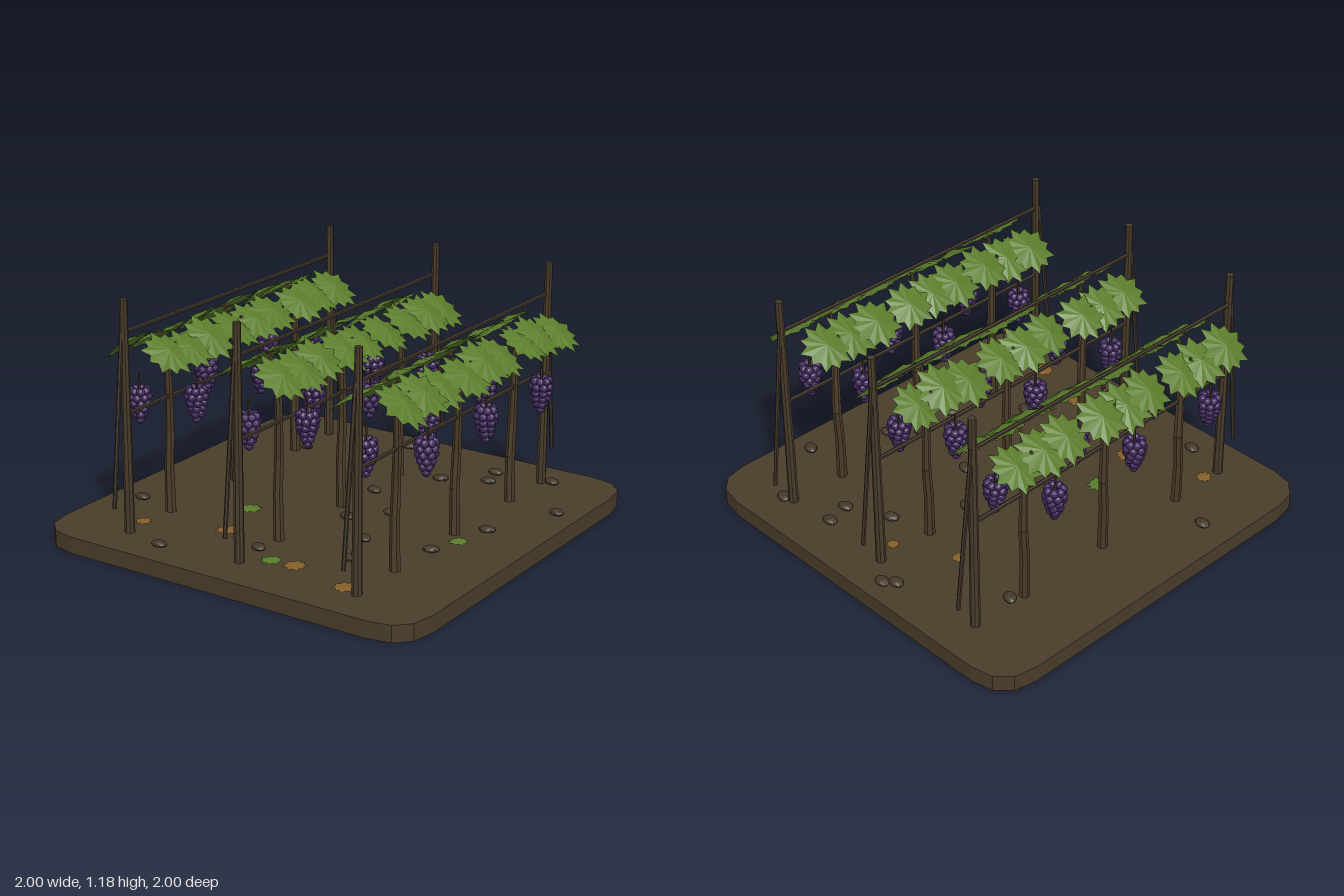
import * as THREE from 'three';
import { mergeGeometries } from 'three/addons/utils/BufferGeometryUtils.js';

const mat = (name, color, extra = {}) => {
  const m = new THREE.MeshStandardMaterial({ color, flatShading: true, ...extra });
  m.name = name;
  return m;
};
const V = (x, y, z) => new THREE.Vector3(x, y, z);

// small repeatable jitter between -1 and 1
let seed = 7;
const jitter = () => {
  seed = (seed * 16807) % 2147483647;
  return (seed / 2147483647) * 2 - 1;
};

function part(parent, name, geometry, material) {
  const mesh = new THREE.Mesh(geometry, material);
  mesh.name = name;
  parent.add(mesh);
  return mesh;
}

// tapered rods joined end to end through the given points
function limbGeometry(points, radii, sides = 7) {
  const rods = [];
  for (let i = 0; i < points.length - 1; i++) {
    const dir = points[i + 1].clone().sub(points[i]);
    const rod = new THREE.CylinderGeometry(radii[i + 1], radii[i], dir.length(), sides);
    rod.applyQuaternion(new THREE.Quaternion().setFromUnitVectors(V(0, 1, 0), dir.normalize()));
    const mid = points[i].clone().add(points[i + 1]).multiplyScalar(0.5);
    rods.push(rod.translate(mid.x, mid.y, mid.z));
  }
  return mergeGeometries(rods);
}

// pleated star leaf with a raised centre, unit radius
function leafGeometry(tips, droop) {
  const positions = [0, 0, 0];
  const index = [];
  const n = tips * 2;
  for (let i = 0; i < n; i++) {
    const a = (i / n) * Math.PI * 2;
    const isTip = i % 2 === 0;
    const r = isTip ? 1 - 0.1 * ((i / 2) % 2) : 0.7;
    positions.push(Math.cos(a) * r, -droop * (isTip ? 1 : 0.9), Math.sin(a) * r);
    index.push(0, 1 + ((i + 1) % n), 1 + i);
  }
  const g = new THREE.BufferGeometry();
  g.setAttribute('position', new THREE.Float32BufferAttribute(positions, 3));
  g.setIndex(index);
  g.computeVertexNormals();
  return g;
}

// tapering bunch of grapes hanging below y = 0
function bunchGeometry() {
  const rings = [[0.034, 7], [0.038, 7], [0.034, 6], [0.026, 5], [0.017, 4], [0, 1]];
  const grapes = [];
  rings.forEach(([radius, count], row) => {
    for (let i = 0; i < count; i++) {
      const a = ((i + (row % 2) * 0.5) / count) * Math.PI * 2;
      grapes.push(new THREE.IcosahedronGeometry(0.021, 1)
        .translate(Math.cos(a) * radius, -0.021 - row * 0.028, Math.sin(a) * radius));
    }
  });
  return mergeGeometries(grapes);
}

export function createModel() {
  const model = new THREE.Group();
  model.name = 'vineyard';
  const soil = mat('soil brown', 0x4a3d2a);
  const wood = mat('post wood', 0x483c2b);
  const bark = mat('vine bark', 0x4a3b28);
  const wire = mat('rail brown', 0x40352a);
  const stone = mat('pebble brown', 0x443828);
  const green = mat('leaf green', 0x5b7d2c, { side: THREE.DoubleSide });
  const autumn = mat('dry leaf orange', 0x85602a, { side: THREE.DoubleSide });
  const purple = mat('grape purple', 0x40295e);

  // soil slab with rounded corners
  const s = new THREE.Shape();
  s.moveTo(-0.8, -1);
  s.lineTo(0.8, -1);
  s.quadraticCurveTo(1, -1, 1, -0.8);
  s.lineTo(1, 0.8);
  s.quadraticCurveTo(1, 1, 0.8, 1);
  s.lineTo(-0.8, 1);
  s.quadraticCurveTo(-1, 1, -1, 0.8);
  s.lineTo(-1, -0.8);
  s.quadraticCurveTo(-1, -1, -0.8, -1);
  part(model, 'soilSlab', new THREE.ExtrudeGeometry(s, { depth: 0.08, bevelEnabled: false, curveSegments: 3 })
    .rotateX(-Math.PI / 2), soil);

  // shared pieces
  const leaf = leafGeometry(11, 0.2);
  const flatLeaf = leafGeometry(9, 0.08);
  const bunch = bunchGeometry();
  const post = limbGeometry([V(0, 0.08, 0), V(0.007, 1.18, 0)], [0.024, 0.018], 8);
  const brace = limbGeometry([V(0, 0.225, 0.9), V(0, 1.03, 0.812)], [0.01, 0.01], 6);
  const rail = new THREE.CylinderGeometry(0.01, 0.01, 1.6, 6).rotateX(Math.PI / 2);
  const trunk = limbGeometry(
    [V(-0.004, 0.08, -0.005), V(-0.012, 0.3, -0.012), V(-0.012, 0.46, -0.022), V(0, 0.66, -0.008), V(0.002, 0.86, 0)],
    [0.026, 0.023, 0.022, 0.019, 0.016]);
  const arm = limbGeometry([V(0, 0.82, 0), V(0.045, 0.91, 0.025), V(0.1, 0.935, 0.06)], [0.012, 0.01, 0.006], 5);
  const stalk = limbGeometry([V(0, -0.02, 0), V(0.003, 0.065, 0)], [0.006, 0.005], 5);

  function addVine(row, z) {
    const vine = new THREE.Group();
    vine.name = 'vine';
    vine.position.z = z;
    row.add(vine);
    part(vine, 'trunk', trunk, bark);
    for (const side of [-1, 1]) {
      part(vine, 'arm', arm, bark).rotation.y = side > 0 ? 0 : Math.PI;
      // three overlapping leaves sloping away from the top rail
      for (let i = -1; i <= 1; i++) {
        const blade = part(vine, 'leaf', leaf, green);
        const size = (side > 0 ? 0.141 : 0.134) + jitter() * 0.006;
        blade.position.set(side * 0.128 + 0.01 + jitter() * 0.01, 0.927 + jitter() * 0.012, i * 0.147 + jitter() * 0.01);
        blade.rotation.set(jitter() * 0.12, jitter() * 0.4, -side * (0.58 + jitter() * 0.06), 'ZXY');
        blade.scale.set(size, size, size);
      }
      // hanging grapes
      const grapes = new THREE.Group();
      grapes.name = 'grapeBunch';
      grapes.position.set(side * 0.108, 0.698 + jitter() * 0.006, -side * 0.072);
      grapes.rotation.y = jitter() * 3;
      vine.add(grapes);
      part(grapes, 'grapes', bunch, purple);
      part(grapes, 'stalk', stalk, bark);
    }
  }

  // three trellised rows
  for (const x of [-0.62, 0, 0.62]) {
    const row = new THREE.Group();
    row.name = 'trellisRow';
    row.position.x = x;
    model.add(row);
    for (const end of [-1, 1]) {
      part(row, 'post', post, wood).position.z = end * 0.8;
      part(row, 'brace', brace, wire).rotation.y = end > 0 ? 0 : Math.PI;
    }
    part(row, 'topRail', rail, wire).position.y = 1.027;
    part(row, 'lowerRail', rail, wire).position.y = 0.645;
    for (const z of [-0.5, 0, 0.5]) addVine(row, z);
  }

  // pebbles
  const pebble = new THREE.IcosahedronGeometry(1, 1);
  const pebbles = [
    [-0.17, -0.86], [-0.12, -0.9], [0.38, -0.78], [0.67, -0.82], [0.88, -0.48], [0.31, 0.28],
    [-0.41, 0.85], [-0.84, 0.44], [0.39, 0.5], [0.41, -0.66], [0.02, -0.25], [0.24, -0.05],
    [-0.6, -0.57], [0.2, -0.56], [0.63, 0.22], [-0.02, 0.63], [0.72, -0.12], [0.1, 0.1]];
  for (const [x, z] of pebbles) {
    const rock = part(model, 'pebble', pebble, stone);
    rock.position.set(x, 0.088, z);
    rock.rotation.y = jitter() * 0.5;
    rock.scale.set(0.04, 0.017, 0.03);
  }

  // fallen leaves lying on the soil
  const fallen = [
    [-0.25, -0.55, 0.04, autumn], [0.03, -0.7, 0.035, autumn], [-0.24, 0.57, 0.06, autumn],
    [0.25, 0.73, 0.06, autumn], [0.56, 0.8, 0.06, autumn], [-0.62, 0.7, 0.045, autumn],
    [-0.31, 0.3, 0.06, green], [0.13, 0.74, 0.055, green], [0.7, 0.1, 0.05, green]];
  for (const [x, z, size, material] of fallen) {
    const litter = part(model, 'fallenLeaf', flatLeaf, material);
    litter.position.set(x, 0.103, z);
    litter.rotation.y = jitter() * 3;
    litter.scale.setScalar(size);
  }
  return model;
}
